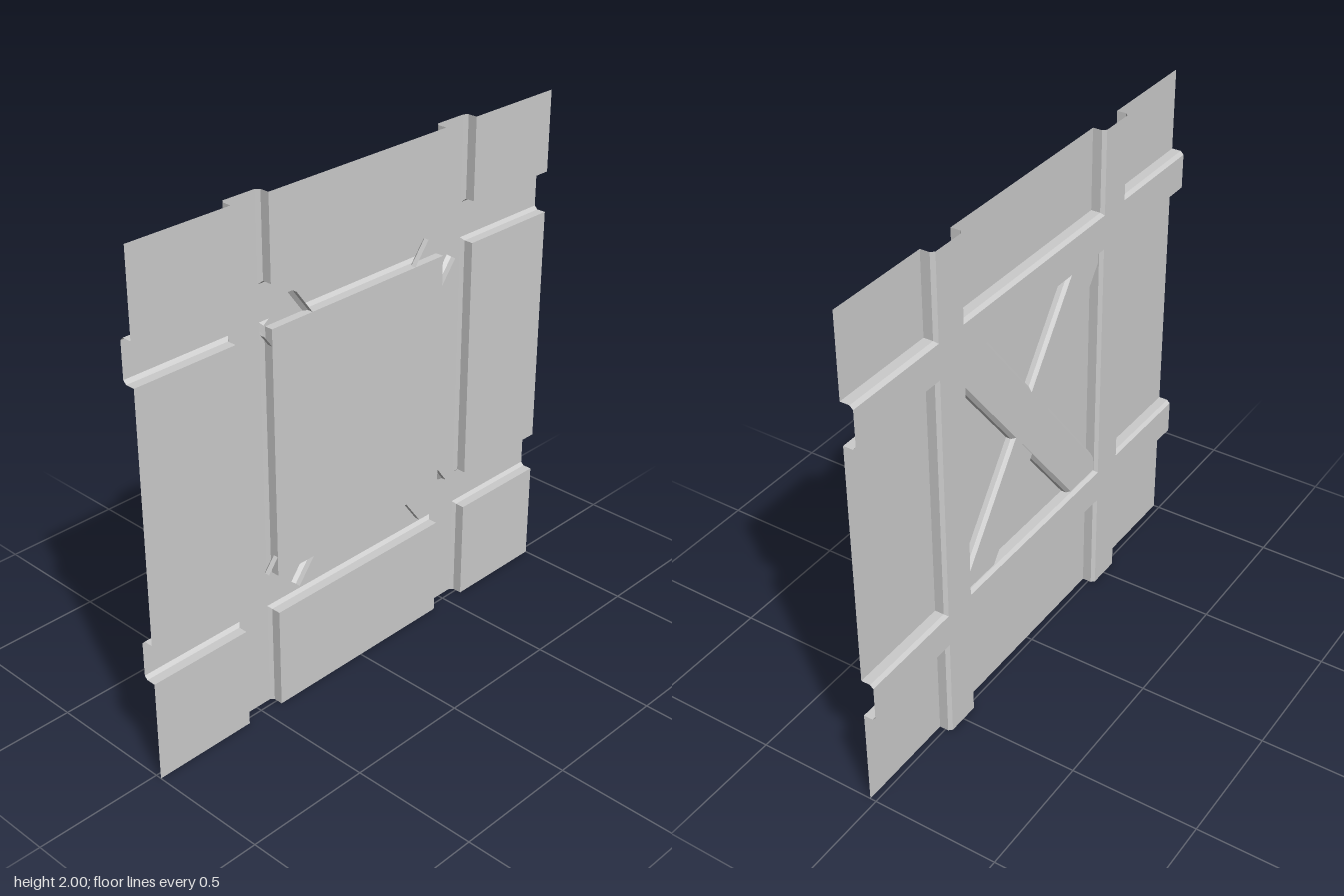
import * as THREE from 'three';

const material = new THREE.MeshStandardMaterial({ color: 0xcccccc, flatShading: true, side: THREE.DoubleSide });

// Depth levels across the thin sheet
const FACE = 0.0245, BEVEL = -0.012, BACK = -0.0245;
const CHAMFER = 0.0125;

// Each quad is four [x, y, z] corners, counter-clockwise from its front
function quadMesh(name, quads) {
  const positions = [];
  for (const [a, b, c, d] of quads) positions.push(...a, ...b, ...c, ...a, ...c, ...d);
  const geometry = new THREE.BufferGeometry();
  geometry.setAttribute('position', new THREE.Float32BufferAttribute(positions, 3));
  geometry.computeVertexNormals();
  const mesh = new THREE.Mesh(geometry, material);
  mesh.name = name;
  return mesh;
}

// Rectangle facing +x
const rect = (x, y0, y1, z0, z1) => [[x, y0, z1], [x, y0, z0], [x, y1, z0], [x, y1, z1]];

// Raised sheet panel: walls and chamfers only on sides that meet a groove
function panel(name, y0, y1, z0, z1) {
  const open = [y0 === 0, z0 === -1, y1 === 2, z1 === 1];
  const grow = open.map((o) => (o ? 0 : CHAMFER));
  const rings = [
    rect(FACE, y0, y1, z0, z1),
    rect(BEVEL, y0, y1, z0, z1),
    rect(BACK, y0 - grow[0], y1 + grow[2], z0 - grow[1], z1 + grow[3]),
  ];
  const quads = [rings[0]];
  for (let r = 0; r < 2; r++) {
    for (let k = 0; k < 4; k++) {
      if (open[k]) continue;
      const n = (k + 1) % 4;
      quads.push([rings[r + 1][k], rings[r + 1][n], rings[r][n], rings[r][k]]);
    }
  }
  return quadMesh(name, quads);
}

// Diagonal brace: a chamfered channel, open towards +x and at both ends
function brace(name, [yA, zA], [yB, zB], floor) {
  const half = 0.0935, inner = half - CHAMFER;
  const profile = [[FACE - 0.0005, -half], [floor + CHAMFER, -half], [floor, -inner],
    [floor, inner], [floor + CHAMFER, half], [FACE - 0.0005, half]];
  const length = Math.hypot(yB - yA, zB - zA);
  const acrossY = -(zB - zA) / length, acrossZ = (yB - yA) / length;
  const at = ([x, s], y, z) => [x, y + acrossY * s, z + acrossZ * s];
  const quads = [];
  for (let i = 0; i < profile.length - 1; i++) {
    const p = profile[i], q = profile[i + 1];
    quads.push([at(p, yA, zA), at(p, yB, zB), at(q, yB, zB), at(q, yA, zA)]);
  }
  return quadMesh(name, quads);
}

export function createModel() {
  const model = new THREE.Group();
  model.name = 'wallPanel';

  // Three by three raised panels
  const rows = [[0, 0.404], [0.563, 1.524], [1.685, 2]];
  const columns = [[-1, -0.58], [-0.42, 0.42], [0.58, 1]];
  const rowNames = ['lower', 'middle', 'upper'], columnNames = ['Back', 'Centre', 'Front'];
  rows.forEach(([y0, y1], r) => columns.forEach(([z0, z1], c) => {
    model.add(panel(rowNames[r] + columnNames[c] + 'Panel', y0, y1, z0, z1));
  }));

  // Groove floors: two full-height, two rows of pieces between them
  const gaps = (spans) => [0, 1].map((i) => [spans[i][1] + CHAMFER, spans[i + 1][0] - CHAMFER]);
  const zGaps = gaps(columns), yGaps = gaps(rows);
  const zPieces = [[-1, zGaps[0][0]], [zGaps[0][1], zGaps[1][0]], [zGaps[1][1], 1]];
  model.add(quadMesh('verticalGrooves', zGaps.map(([z0, z1]) => rect(BACK, 0, 2, z0, z1))));
  model.add(quadMesh('horizontalGrooves',
    yGaps.flatMap(([y0, y1]) => zPieces.map(([z0, z1]) => rect(BACK, y0, y1, z0, z1)))));

  // Crossed braces behind the centre panel
  model.add(brace('braceFrontToBack', [1.564, 0.38], [0.519, -0.396], -0.008));
  model.add(brace('braceBackToFront', [1.551, -0.415], [0.527, 0.39], -0.0085));
  return model;
}
